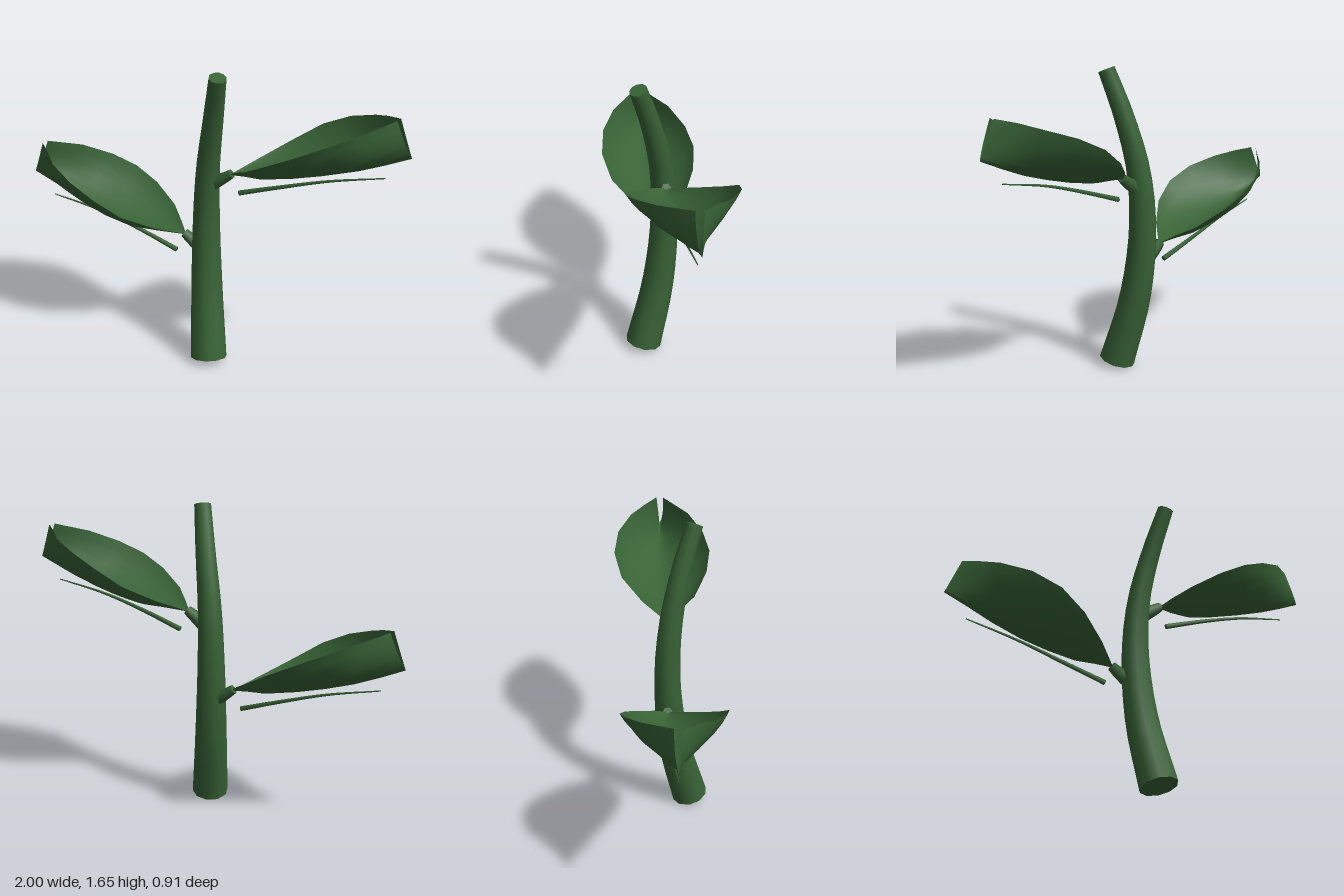
import * as THREE from 'three';

const leafGreen = new THREE.MeshStandardMaterial({ color: 0x386336, side: THREE.DoubleSide });
leafGreen.name = 'leaf green';

const vec = (p) => new THREE.Vector3(...p);

// Tapered tube along a path, with a flat cap on each end
function taperedTube(name, points, rStart, rEnd, segments, sides) {
  const group = new THREE.Group();
  group.name = name;
  const curve = new THREE.CatmullRomCurve3(points.map(vec));
  const geo = new THREE.TubeGeometry(curve, segments, 1, sides);
  const pos = geo.attributes.position;
  const v = new THREE.Vector3();
  for (let i = 0; i <= segments; i++) {
    const u = i / segments;
    const centre = curve.getPointAt(u);
    const r = THREE.MathUtils.lerp(rStart, rEnd, u);
    for (let j = 0; j <= sides; j++) {
      const k = i * (sides + 1) + j;
      v.fromBufferAttribute(pos, k).sub(centre).multiplyScalar(r).add(centre);
      pos.setXYZ(k, v.x, v.y, v.z);
    }
  }
  const body = new THREE.Mesh(geo, leafGreen);
  body.name = name + 'Body';
  group.add(body);
  for (const [u, r, dir] of [[0, rStart, -1], [1, rEnd, 1]]) {
    const cap = new THREE.Mesh(new THREE.CircleGeometry(r, sides), leafGreen);
    cap.name = name + 'Cap';
    cap.position.copy(curve.getPointAt(u));
    cap.lookAt(cap.position.clone().addScaledVector(curve.getTangentAt(u), dir));
    group.add(cap);
  }
  return group;
}

// Cross-sections of the cupped blade: near rim, midrib, far rim
const sections = [
  [[0.13, 1.09, -0.03], [0.13, 1.085, -0.035], [0.13, 1.09, -0.045]],
  [[0.2, 1.13, 0.01], [0.24, 1.095, -0.07], [0.2, 1.155, -0.2]],
  [[0.3, 1.177, 0.065], [0.34, 1.1, -0.11], [0.3, 1.24, -0.35]],
  [[0.46, 1.26, 0.09], [0.47, 1.125, -0.16], [0.42, 1.33, -0.43]],
  [[0.6, 1.33, 0.07], [0.62, 1.165, -0.21], [0.57, 1.4, -0.455]],
  [[0.72, 1.39, 0], [0.76, 1.21, -0.26], [0.73, 1.45, -0.43]],
  [[0.84, 1.45, -0.12], [0.88, 1.26, -0.3], [0.83, 1.48, -0.38]],
  [[0.93, 1.5, -0.295], [1.0, 1.315, -0.34], [0.925, 1.5, -0.335]],
];

// Blade surface: each section is a rounded trough from rim to rim
function bladeGeometry() {
  const half = 6, cols = half * 2 + 1;
  const positions = [], index = [];
  sections.forEach(([near, mid, far], row) => {
    for (let c = -half; c <= half; c++) {
      const s = Math.abs(c) / half;
      const rim = c < 0 ? near : far;
      const out = 0.5 * s + 0.5 * Math.sin(s * Math.PI / 2);
      const up = 0.35 * s + 0.65 * (1 - Math.cos(s * Math.PI / 2));
      // along-leaf and height follow the rise, sideways follows the spread
      positions.push(
        mid[0] + (rim[0] - mid[0]) * up,
        mid[1] + (rim[1] - mid[1]) * up,
        mid[2] + (rim[2] - mid[2]) * out);
    }
    if (row === 0) return;
    for (let c = 0; c < cols - 1; c++) {
      const a = (row - 1) * cols + c, b = a + cols;
      index.push(a, b, a + 1, a + 1, b, b + 1);
    }
  });
  const geo = new THREE.BufferGeometry();
  geo.setAttribute('position', new THREE.Float32BufferAttribute(positions, 3));
  geo.setIndex(index);
  geo.computeVertexNormals();
  return geo;
}

// One leaf: stalk, cupped blade and the thin rib hanging below it
function createLeaf(name) {
  const leaf = new THREE.Group();
  leaf.name = name;
  const blade = new THREE.Mesh(bladeGeometry(), leafGreen);
  blade.name = 'blade';
  leaf.add(blade);
  leaf.add(taperedTube('stalk',
    [[0.03, 1.02, -0.005], [0.085, 1.055, -0.018], [0.135, 1.093, -0.037]], 0.043, 0.026, 3, 6));
  leaf.add(taperedTube('rib',
    [[0.17, 0.987, -0.06], [0.4, 1.066, -0.125], [0.63, 1.137, -0.205], [0.885, 1.192, -0.305]],
    0.014, 0.003, 10, 6));
  return leaf;
}

export function createModel() {
  const model = new THREE.Group();
  model.name = 'plantSprig';

  // Bowed stem, thick at the foot
  model.add(taperedTube('stem', [
    [0.1, 0.03, 0.1], [0.025, 0.4, 0.03], [-0.006, 0.78, 0], [0.012, 1.1, 0.008],
    [0.08, 1.4, 0.045], [0.153, 1.64, 0.097],
  ], 0.1, 0.045, 16, 10));

  // Upper leaf, and the same leaf turned half round and set lower
  model.add(createLeaf('upperLeaf'));
  const lower = createLeaf('lowerLeaf');
  lower.rotation.y = Math.PI;
  lower.position.y = -0.4;
  model.add(lower);
  return model;
}
